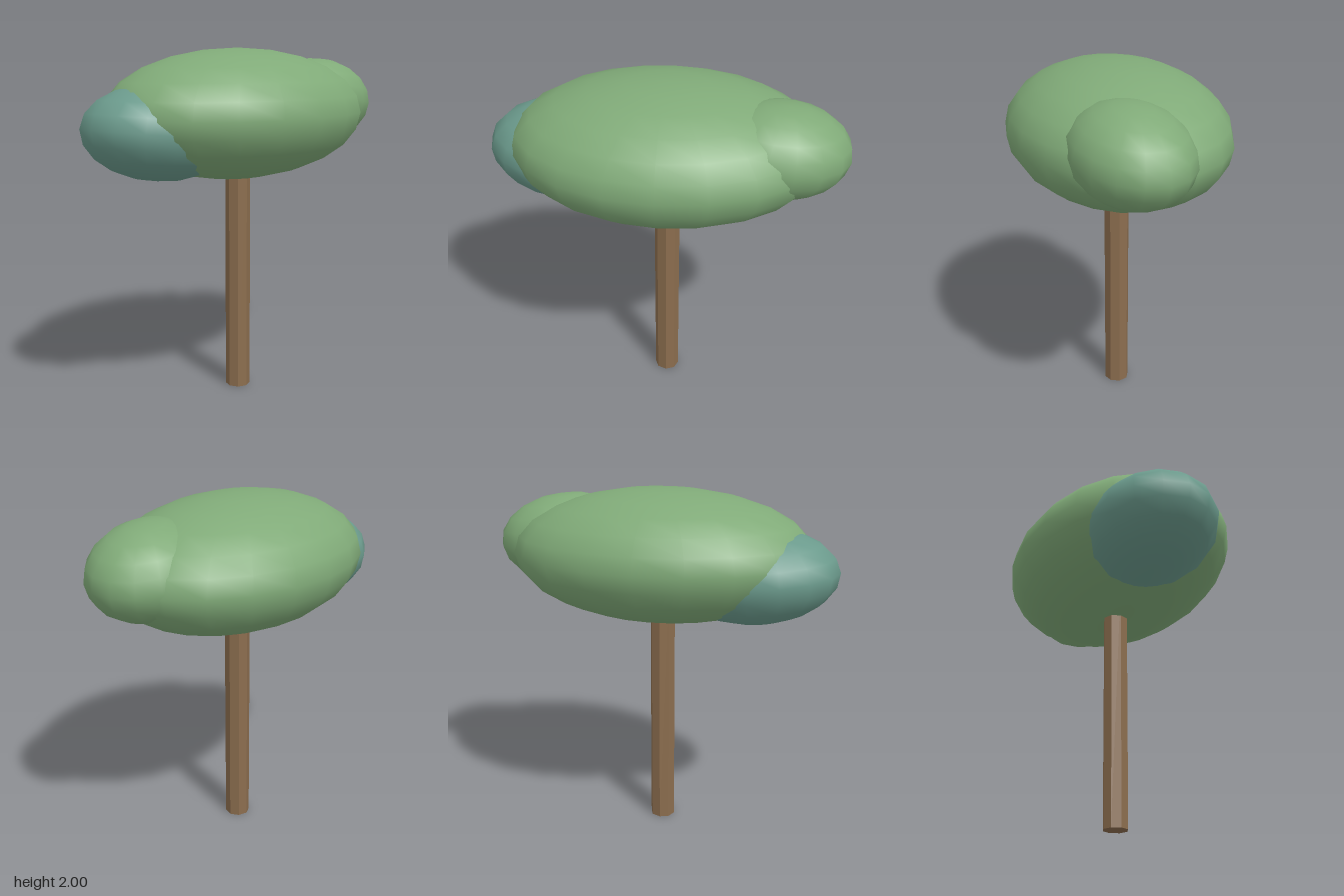
import * as THREE from 'three';

const material = (color, flatShading = false) => {
  const m = new THREE.MeshStandardMaterial({ flatShading });
  m.color.set(color);
  return m;
};

const LEAF = material(0x80aa78);
const BLUE_LEAF = material(0x6b9a8c);
const BARK = material(0x8b6d4e, true);

// Smooth ellipsoid clump of foliage
function clump(name, mat, segments, rings, centre, radii, tiltY = 0, tiltZ = 0) {
  const mesh = new THREE.Mesh(new THREE.SphereGeometry(1, segments, rings), mat);
  mesh.name = name;
  mesh.scale.set(...radii);
  mesh.rotation.set(0, tiltY, tiltZ);
  mesh.position.set(...centre);
  return mesh;
}

export function createModel() {
  const tree = new THREE.Group();
  tree.name = 'tree';

  // Eight-sided trunk, running up into the canopy
  const height = 1.5;
  const trunk = new THREE.Mesh(new THREE.CylinderGeometry(0.072, 0.072, height, 8), BARK);
  trunk.name = 'trunk';
  trunk.position.y = height / 2;
  tree.add(trunk);

  // Broad flat canopy with a smaller lobe at each end
  tree.add(
    clump('mainCanopy', LEAF, 20, 12, [0, 1.633, 0], [0.86, 0.367, 0.61]),
    clump('leftCanopyLobe', LEAF, 16, 10, [0.6, 1.69, 0.09], [0.39, 0.25, 0.315], 0.24, -0.12),
    clump('rightCanopyLobe', BLUE_LEAF, 16, 10, [-0.54, 1.55, -0.06], [0.452, 0.258, 0.37], 0, -0.09),
  );
  return tree;
}
